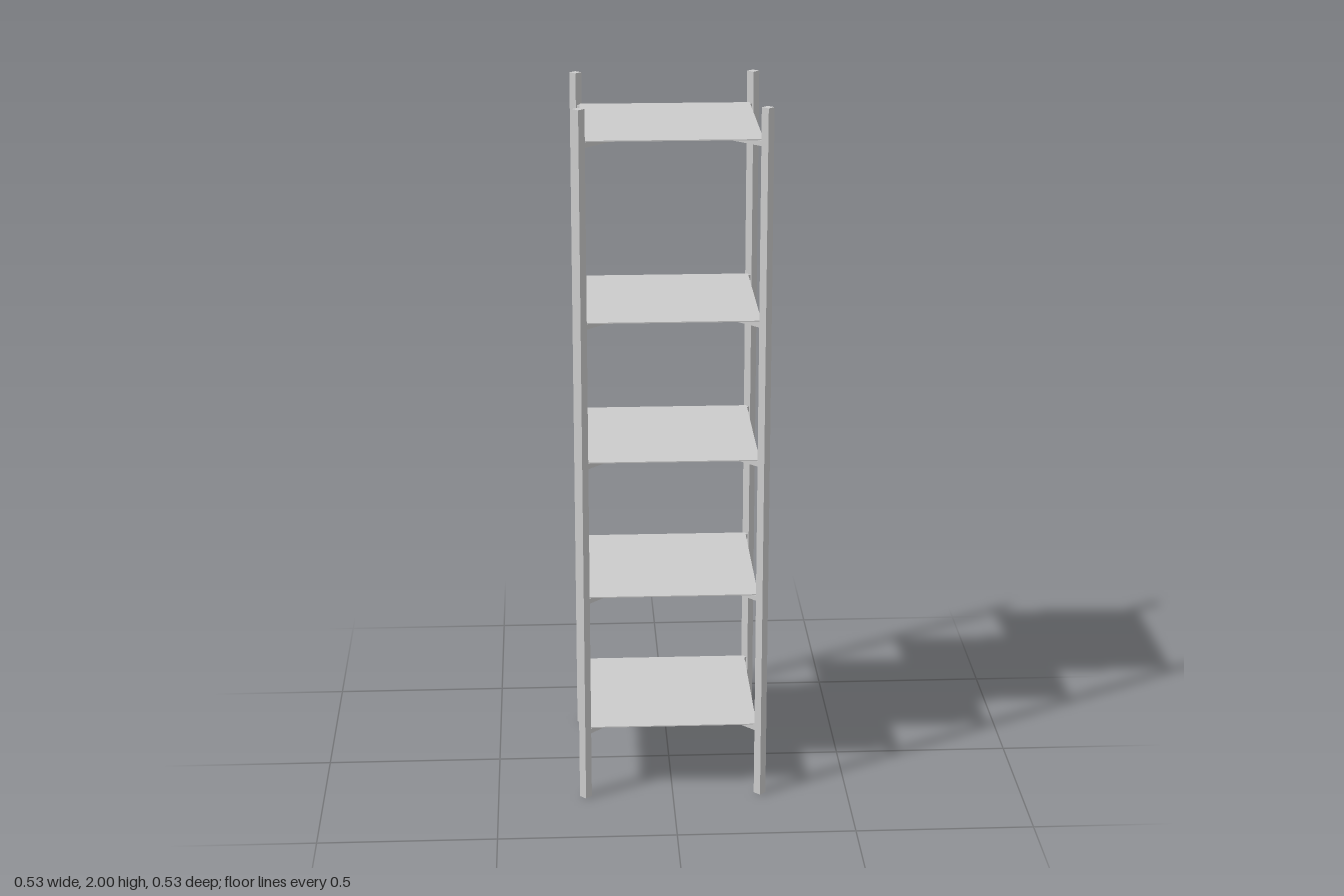
import * as THREE from 'three';

const HEIGHT = 2;
const POST_OFFSET = 0.25;
const POST_SIZE = 0.024;
const BRACE_SIZE = 0.015;
const SHELF_SIZE = 0.48;
const SHELF_THICKNESS = 0.003;
const LEVELS = [0.2, 0.6, 1.0, 1.4, 1.9];

export function createModel() {
  const model = new THREE.Group();
  model.name = 'shelvingUnit';
  const material = new THREE.MeshStandardMaterial({ color: 0xcccccc, flatShading: true });

  const addBox = (parent, name, size, position, turn = 0) => {
    const mesh = new THREE.Mesh(new THREE.BoxGeometry(...size), material);
    mesh.name = name;
    mesh.position.set(...position);
    mesh.rotation.y = turn;
    parent.add(mesh);
  };

  // Four square posts, turned to face the centre
  for (const [side, x] of [['Left', 1], ['Right', -1]]) {
    for (const [end, z] of [['front', 1], ['back', -1]]) {
      addBox(model, `${end}${side}Post`, [POST_SIZE, HEIGHT, POST_SIZE],
        [x * POST_OFFSET, HEIGHT / 2, z * POST_OFFSET], Math.PI / 4);
    }
  }

  // Each level: two crossed diagonal braces carrying a thin shelf
  const braceLength = 2 * Math.SQRT2 * POST_OFFSET;
  LEVELS.forEach((y, i) => {
    const level = new THREE.Group();
    level.name = `shelfLevel${i + 1}`;
    level.position.y = y + 0.002;
    for (const s of [1, -1]) {
      addBox(level, s > 0 ? 'braceA' : 'braceB', [braceLength, BRACE_SIZE, BRACE_SIZE],
        [0, 0, 0], s * Math.PI / 4);
    }
    addBox(level, 'shelf', [SHELF_SIZE, SHELF_THICKNESS, SHELF_SIZE],
      [0, (BRACE_SIZE + SHELF_THICKNESS) / 2, 0]);
    model.add(level);
  });

  return model;
}
